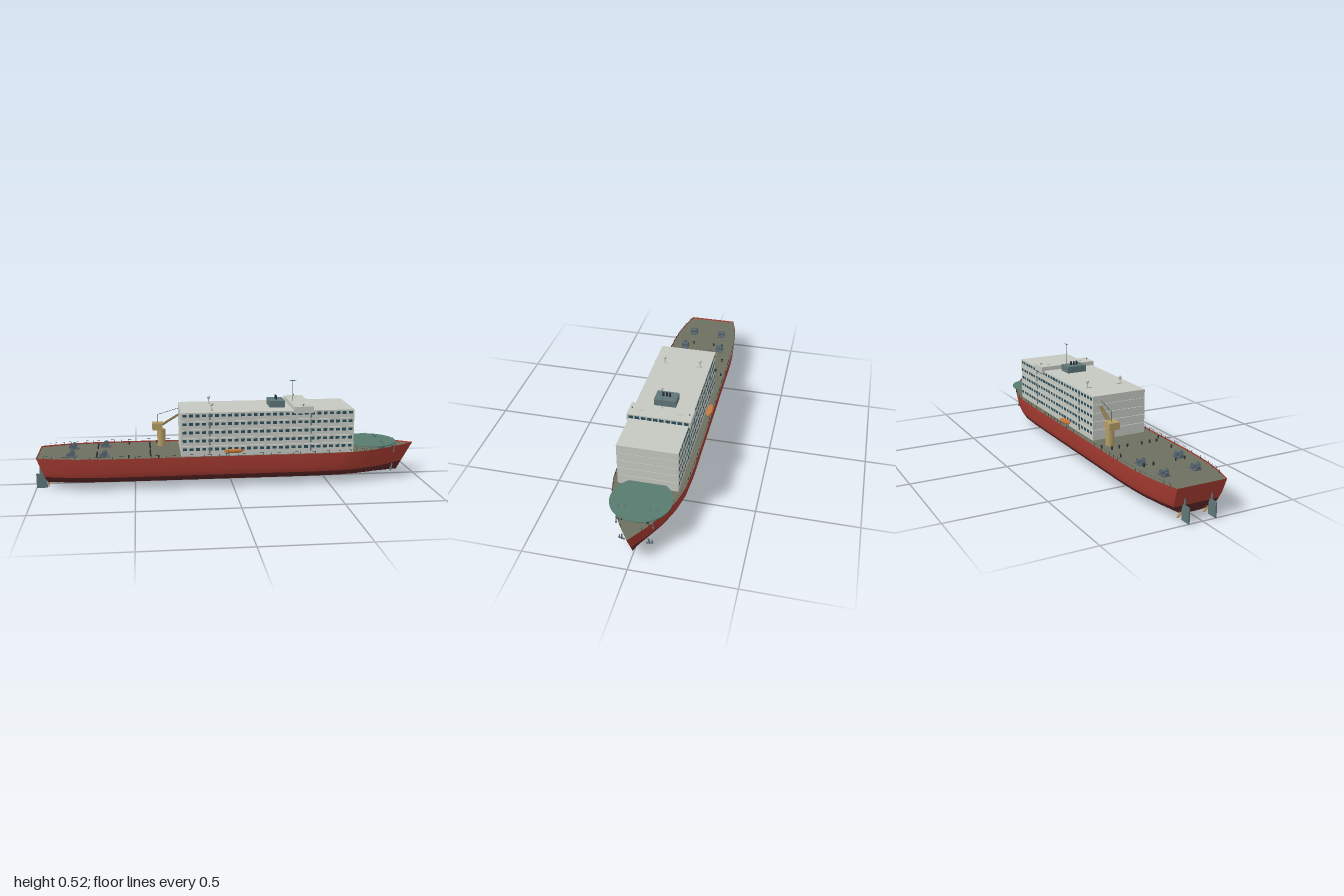
import * as THREE from 'three';
import { mergeGeometries } from 'three/addons/utils/BufferGeometryUtils.js';

const mat = (color, side = THREE.FrontSide) => new THREE.MeshStandardMaterial({ color, side });
const M = {
  red: mat(0xa63b31, THREE.DoubleSide), keel: mat(0x5c2626, THREE.DoubleSide), deck: mat(0x6d705f, THREE.DoubleSide),
  white: mat(0xc5c8c0), glass: mat(0x2c4d5a), teal: mat(0x587b6e), steel: mat(0x5f7577), dark: mat(0x2a2f33),
  orange: mat(0xc67a3c), tan: mat(0xb39c66), boom: mat(0x83734a), gold: mat(0xb8935a), winch: mat(0x55646e),
};
const V = (x, y, z) => new THREE.Vector3(x, y, z);

// geometry helpers: box by centre, upright cylinder by base, rod between two points
const box = (x, y, z, w, h, d) => new THREE.BoxGeometry(w, h, d).translate(x, y, z);
const post = (x, y, z, r, h, n = 10) => new THREE.CylinderGeometry(r, r, h, n).translate(x, y + h / 2, z);
const ball = (x, y, z, r) => new THREE.SphereGeometry(r, 14, 10).translate(x, y, z);
function rod(a, b, r, n = 6) {
  const dir = b.clone().sub(a), g = new THREE.CylinderGeometry(r, r, dir.length(), n);
  g.applyQuaternion(new THREE.Quaternion().setFromUnitVectors(V(0, 1, 0), dir.normalize()));
  const c = a.clone().add(b).multiplyScalar(0.5);
  return g.translate(c.x, c.y, c.z);
}

// hull plan: half-breadth along the deck, and section: height with breadth factor
const PLAN = [[-0.99, 0.128], [-0.9, 0.153], [-0.8, 0.171], [-0.7, 0.18], [-0.6, 0.184], [0.45, 0.184],
  [0.6, 0.176], [0.7, 0.155], [0.8, 0.115], [0.9, 0.06], [0.99, 0]];
const SECTION = [[0.17, 1], [0.163, 0.998], [0.1, 0.975], [0.07, 0.91], [0.053, 0.86], [0.035, 0.68], [0.025, 0.38], [0.022, 0]];
function halfWidth(x) {
  let i = 0;
  while (i < PLAN.length - 2 && x > PLAN[i + 1][0]) i++;
  const [a, b] = [PLAN[i], PLAN[i + 1]];
  return Math.max(0, THREE.MathUtils.lerp(a[1], b[1], (x - a[0]) / (b[0] - a[0])));
}
function hullPoint(x, y, f, side) {
  const t = (0.17 - y) / 0.148, s = (x + 0.99) / 1.98;
  return [THREE.MathUtils.lerp(-0.99 + 0.055 * t, 0.99 - 0.085 * t, s), y, side * f * halfWidth(x)];
}
// skin between stations, from one gunwale down or across to the other
function loft(rows, stations) {
  const pos = [], idx = [], n = rows.length;
  stations.forEach(x => rows.forEach(([y, f, side]) => pos.push(...hullPoint(x, y, f, side))));
  for (let i = 0; i < stations.length - 1; i++) for (let j = 0; j < n - 1; j++) {
    const a = i * n + j, b = a + n;
    idx.push(a, a + 1, b, b, a + 1, b + 1);
  }
  const g = new THREE.BufferGeometry();
  g.setAttribute('position', new THREE.Float32BufferAttribute(pos, 3));
  g.setIndex(idx);
  g.computeVertexNormals();
  return g;
}

export function createModel() {
  const ship = new THREE.Group();
  const add = (name, geo, material) => {
    const m = new THREE.Mesh(Array.isArray(geo) ? mergeGeometries(geo) : geo, material);
    m.name = name;
    ship.add(m);
    return m;
  };
  const both = fn => [-1, 1].flatMap(fn);

  // hull, in two paint bands, with transom and deck
  const stations = [];
  for (let i = 0; i <= 66; i++) stations.push(-0.99 + i * 0.03);
  const onSide = (rows, s) => rows.map(([y, f]) => [y, f, s]);
  const upper = SECTION.slice(0, 4), lower = SECTION.slice(3);
  add('hullSideLeft', loft(onSide(upper, 1), stations), M.red);
  add('hullSideRight', loft(onSide(upper, -1).reverse(), stations), M.red);
  add('hullBottom', loft([...onSide(lower, 1), ...onSide(lower, -1).reverse().slice(1)], stations), M.keel);
  const transom = (rows) => {
    const pos = [], idx = [];
    rows.forEach(([y, f]) => pos.push(...hullPoint(-0.99, y, f, 1), ...hullPoint(-0.99, y, f, -1)));
    for (let i = 0; i < rows.length - 1; i++) { const a = 2 * i; idx.push(a, a + 1, a + 2, a + 1, a + 3, a + 2); }
    const g = new THREE.BufferGeometry();
    g.setAttribute('position', new THREE.Float32BufferAttribute(pos, 3));
    g.setIndex(idx);
    g.computeVertexNormals();
    return g;
  };
  add('transomUpper', transom(upper), M.red);
  add('transomLower', transom(lower), M.keel);
  add('deck', loft([[0.163, 0.998, -1], [0.163, 0.998, 1]], stations), M.deck);

  // guard rail: stanchions and a wire along each edge
  const rails = both(s => {
    const out = [];
    let last = null;
    for (let x = -0.95; x < 0.95; x += 0.038) {
      const z = s * (halfWidth(x) - 0.004);
      out.push(rod(V(x, 0.163, z), V(x, 0.181, z), 0.0007, 4));
      if (last) out.push(rod(last, V(x, 0.181, z), 0.0003, 3));
      last = V(x, 0.181, z);
    }
    return out;
  });
  add('guardRail', rails, M.dark);

  // accommodation block: five tiers with narrow gaps and rows of windows
  const tiers = [], windows = [], ladders = [];
  for (let t = 0; t < 5; t++) {
    const y0 = t ? 0.173 + t * 0.0432 : 0.163, y1 = 0.214 + t * 0.0435;
    tiers.push(box(0.18, (y0 + y1) / 2, 0, 0.89, y1 - y0, 0.294));
    for (const s of [-1, 1]) {
      for (let i = 0; i < 27; i++) windows.push(box(-0.247 + i * 0.0328, y1 - 0.015, s * 0.147, 0.02, 0.014, 0.002));
      for (const x of [-0.12, 0.4]) ladders.push(box(x, y1 - 0.02, s * 0.149, 0.007, 0.032, 0.003));
    }
  }
  add('accommodationTiers', tiers, M.white);
  add('cabinWindows', windows, M.glass);
  add('sideLadders', ladders, M.steel);

  // bridge with forward windows, wing bars and lamps
  add('bridge', box(0.36, 0.393, 0, 0.1, 0.034, 0.314), M.white);
  const panes = [];
  for (let i = 0; i < 10; i++) panes.push(box(0.41, 0.396, -0.135 + i * 0.03, 0.003, 0.015, 0.022));
  add('bridgeWindows', panes, M.glass);
  add('wingBars', both(s => [rod(V(0.36, 0.377, s * 0.15), V(0.36, 0.377, s * 0.171), 0.001)]), M.dark);
  add('lampPosts', both(s => [post(0.36, 0.41, s * 0.141, 0.001, 0.005), ball(0.36, 0.417, s * 0.141, 0.004)]), M.steel);

  // radar domes, mast and funnel on the roof
  add('radarDomes', both(s => [ball(-0.105, 0.42, s * 0.094, 0.009), post(-0.105, 0.388, s * 0.094, 0.003, 0.025),
    box(-0.105, 0.39, s * 0.088, 0.016, 0.004, 0.03), box(0.36, 0.411, s * 0.095, 0.012, 0.004, 0.02)]), M.white);
  add('mast', [post(0.33, 0.41, 0, 0.0014, 0.108), rod(V(0.312, 0.518, 0), V(0.348, 0.518, 0), 0.0016),
    ball(0.33, 0.518, 0, 0.0028)], M.steel);
  add('funnelHousing', box(0.24, 0.405, 0, 0.08, 0.034, 0.11), M.steel);
  add('exhaustPipes', [-0.016, 0, 0.016].map(z => post(0.24, 0.42, z, 0.005, 0.022, 14)), M.dark);

  // round landing deck over the bow, on posts
  add('landingDeck', post(0.742, 0.184, 0, 0.147, 0.005, 48), M.teal);
  const legs = [];
  for (const x of [0.66, 0.74, 0.82]) for (const z of [-0.08, 0, 0.08]) legs.push(post(x, 0.163, z, 0.003, 0.022));
  add('landingDeckPosts', legs, M.steel);

  // lifeboats on cradles: pointed tub with a low canopy
  const boat = s => {
    const g = new THREE.SphereGeometry(1, 20, 14);
    const p = g.attributes.position;
    for (let i = 0; i < p.count; i++) {
      const y = p.getY(i);
      p.setY(i, y > 0 ? y * 0.35 : Math.max(y, -0.92));
    }
    g.scale(0.052, 0.014, 0.016).translate(0, 0.195, s * 0.171);
    g.computeVertexNormals();
    return [g, box(0, 0.196, s * 0.171, 0.075, 0.008, 0.024)];
  };
  add('lifeboats', both(boat), M.orange);
  add('lifeboatCradles', both(s => [-0.025, 0.025].flatMap(x => [
    post(x, 0.163, s * 0.166, 0.0015, 0.022), post(x, 0.163, s * 0.178, 0.0015, 0.022)])), M.steel);

  // deck crane
  add('craneBase', [post(-0.358, 0.163, -0.102, 0.022, 0.09, 20), box(-0.378, 0.27, -0.102, 0.055, 0.036, 0.056)], M.tan);
  add('craneBoom', both(s => [rod(V(-0.355, 0.275, -0.102 + s * 0.008), V(-0.235, 0.348, -0.102 + s * 0.004), 0.005)]), M.boom);
  add('craneWire', [rod(V(-0.375, 0.285, -0.102), V(-0.375, 0.332, -0.102), 0.001),
    rod(V(-0.375, 0.332, -0.102), V(-0.235, 0.373, -0.102), 0.001)], M.dark);

  // winches: drum between two cheeks on a bed plate
  const winch = (x, z) => [box(x, 0.165, z, 0.05, 0.005, 0.04),
    rod(V(x, 0.179, z - 0.02), V(x, 0.179, z + 0.02), 0.009, 14),
    ...both(s => [rod(V(x, 0.179, z + s * 0.015), V(x, 0.179, z + s * 0.018), 0.014, 16)]),
    box(x - 0.02, 0.173, z, 0.014, 0.016, 0.018)];
  add('winches', both(s => [...winch(-0.815, s * 0.083), ...winch(-0.65, s * 0.103), ...winch(0.8, s * 0.075)]), M.winch);

  // bollards along the aft deck
  const spots = [[-0.42, 0.04], [-0.42, 0.085], [-0.42, 0.125], [-0.53, 0.14], [-0.69, 0.06], [-0.69, 0.11], [-0.38, 0.16], [0.86, 0.06]];
  add('bollards', both(s => spots.flatMap(([x, z]) => [post(x, 0.163, s * z, 0.004, 0.014), post(x, 0.176, s * z, 0.005, 0.002)])), M.dark);

  // bow anchors and the fairleads above them
  add('anchors', both(s => [rod(V(0.862, 0.072, s * 0.062), V(0.858, 0.04, s * 0.066), 0.004, 8),
    rod(V(0.858, 0.04, s * 0.05), V(0.85, 0.04, s * 0.082), 0.004, 8),
    rod(V(0.853, 0.04, s * 0.08), V(0.85, 0.054, s * 0.076), 0.003, 8)]), M.steel);
  add('fairleads', both(s => [rod(V(0.862, 0.178, s * 0.083), V(0.862, 0.142, s * 0.087), 0.003, 8),
    ball(0.862, 0.143, s * 0.086, 0.005), rod(V(0.84, 0.176, s * 0.08), V(0.862, 0.176, s * 0.086), 0.003)]), M.steel);

  // twin propellers and rudders
  const propeller = s => {
    const out = [rod(V(-0.944, 0.03, s * 0.07), V(-0.88, 0.03, s * 0.07), 0.005, 12)];
    for (let i = 0; i < 4; i++) {
      out.push(new THREE.SphereGeometry(1, 12, 8).scale(0.002, 0.014, 0.006).rotateY(0.5).translate(0, 0.016, 0)
        .rotateX(Math.PI / 4 + i * Math.PI / 2).translate(-0.938, 0.03, s * 0.07));
    }
    return out;
  };
  add('propellers', both(propeller), M.gold);
  add('rudders', both(s => [box(-0.973, 0.037, s * 0.07, 0.054, 0.074, 0.007),
    post(-0.965, 0.07, s * 0.07, 0.004, 0.04)]), M.steel);
  return ship;
}
